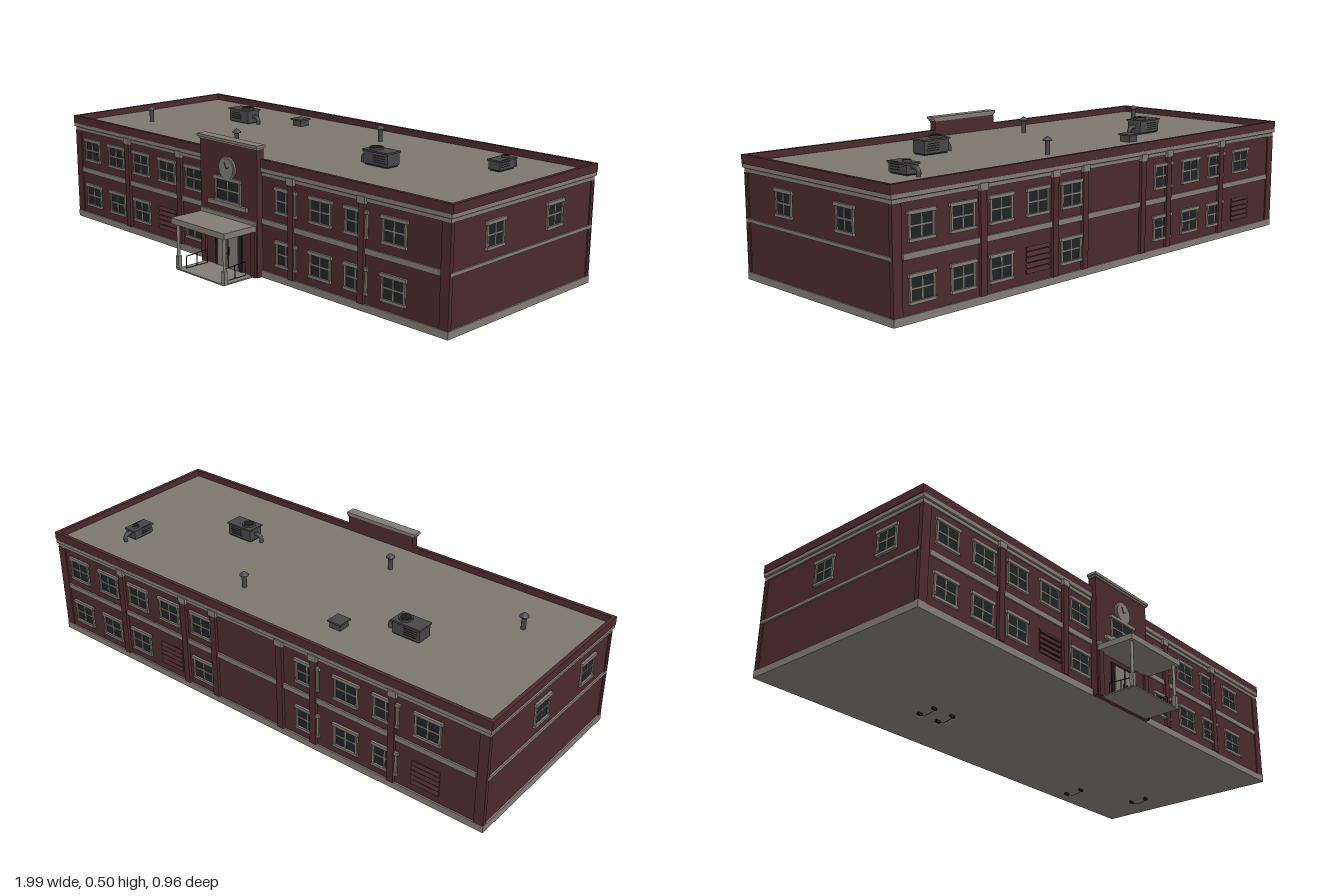
import * as THREE from 'three';

const mat = (name, color) => Object.assign(new THREE.MeshStandardMaterial({ color }), { name });

export function createModel() {
  const brick = mat('brick', 0x4c2a2d);
  const stone = mat('stone trim', 0x827d73);
  const roofing = mat('roofing', 0x7c786d);
  const glass = mat('dark glass', 0x1f2426);
  const metal = mat('roof metal', 0x484648);
  const black = mat('black iron', 0x1c1a1b);

  const model = new THREE.Group();
  model.name = 'schoolBuilding';

  function add(parent, name, geo, material, x = 0, y = 0, z = 0) {
    const m = new THREE.Mesh(geo, material);
    m.name = name;
    m.position.set(x, y, z);
    parent.add(m);
    return m;
  }
  // Box given by its lower and upper limits on each axis
  const box = (p, name, material, x0, x1, y0, y1, z0, z1) =>
    add(p, name, new THREE.BoxGeometry(x1 - x0, y1 - y0, z1 - z0), material,
      (x0 + x1) / 2, (y0 + y1) / 2, (z0 + z1) / 2);
  const group = (name, x = 0, y = 0, z = 0, parent = model) => {
    const g = new THREE.Group();
    g.name = name;
    g.position.set(x, y, z);
    parent.add(g);
    return g;
  };

  // Main body
  const X = 0.985, Z0 = -0.467, Z1 = 0.304;
  const slab = (name, m, out, y0, y1) =>
    box(model, name, m, -X - out, X + out, y0, y1, Z0 - out, Z1 + out);
  slab('foundation', stone, 0.006, 0.02, 0.046);
  slab('walls', brick, 0, 0.046, 0.39);
  slab('lowerCornice', stone, 0.004, 0.39, 0.402);
  slab('upperCornice', stone, 0.009, 0.405, 0.419);
  slab('corniceNeck', brick, 0.002, 0.402, 0.405);
  slab('roof', roofing, 0.0, 0.419, 0.425);
  const outer = new THREE.Shape([[-0.997, -0.312], [0.997, -0.312], [0.997, 0.475], [-0.997, 0.475]]
    .map(([x, y]) => new THREE.Vector2(x, y)));
  outer.holes.push(new THREE.Path([[-0.983, -0.298], [-0.983, 0.461], [0.983, 0.461], [0.983, -0.298]]
    .map(([x, y]) => new THREE.Vector2(x, y))));
  const parapet = new THREE.ExtrudeGeometry(outer, { depth: 0.031, bevelEnabled: false });
  add(model, 'parapet', parapet.rotateX(-Math.PI / 2), brick, 0, 0.419, 0);

  // Window with lintel, sill, frame and glazing bars; local z points out of the wall
  function windowUnit(parent, x, y, w = 0.092) {
    const g = group('window', x, y, 0, parent), h = w / 2;
    box(g, 'glass', glass, -h, h, -0.04, 0.04, 0, 0.002);
    box(g, 'lintel', stone, -h - 0.009, h + 0.009, 0.036, 0.048, 0, 0.009);
    box(g, 'sill', stone, -h - 0.006, h + 0.006, -0.047, -0.037, 0, 0.009);
    for (const s of [-1, 1]) box(g, 'jamb', stone, s * h - 0.004, s * h + 0.004, -0.038, 0.038, 0, 0.006);
    box(g, 'mullion', stone, -0.0025, 0.0025, -0.038, 0.038, 0, 0.004);
    box(g, 'transom', stone, -h, h, -0.002, 0.003, 0, 0.004);
  }
  function louver(parent, x, y) {
    const g = group('louver', x, y, 0, parent);
    box(g, 'louverBacking', black, -0.05, 0.05, -0.04, 0.04, 0, 0.002);
    for (let i = 0; i < 5; i++) {
      const s = box(g, 'louverSlat', brick, -0.055, 0.055, -0.007, 0.007, 0, 0.004);
      s.position.set(0, -0.038 + i * 0.019, 0.005);
      s.rotation.x = -0.4;
    }
  }
  function pilaster(parent, x, w = 0.026) {
    box(parent, 'pilaster', brick, x - w / 2, x + w / 2, 0.046, 0.39, 0, 0.011);
    box(parent, 'pilasterCapital', stone, x - w / 2 - 0.004, x + w / 2 + 0.004, 0.384, 0.408, 0, 0.014);
  }

  // Long facades
  const columns = [-0.877, -0.712, -0.548, -0.383, -0.22, 0.275, 0.44, 0.603, 0.766];
  function facade(name, z, turn, louvers) {
    const g = group(name, 0, 0, z);
    g.rotation.y = turn;
    columns.forEach((x, i) => {
      windowUnit(g, x, 0.315);
      louvers.includes(i) ? louver(g, x, 0.124) : windowUnit(g, x, 0.124);
    });
    [-0.63, -0.303, 0.303, 0.63].forEach(x => pilaster(g, x));
    for (const s of [-1, 1]) box(g, 'cornerPier', brick, s * 0.972 - 0.018, s * 0.972 + 0.018, 0.046, 0.39, 0, 0.005);
    box(g, 'beltCourse', stone, -0.95, 0.95, 0.217, 0.237, 0, 0.006);
    return g;
  }
  facade('frontFacade', Z1, 0, [3]);
  const back = facade('backFacade', Z0, Math.PI, [3, 8]);
  [-0.155, 0.155].forEach(x => pilaster(back, x));

  // End walls
  [[1, [0.084, -0.242]], [-1, [-0.15, 0.15]]].forEach(([s, zs]) => {
    const g = group('endWall', s * X, 0, 0);
    g.rotation.y = s * Math.PI / 2;
    zs.forEach(z => windowUnit(g, -s * z, 0.313, 0.082));
    const a = s > 0 ? -Z1 : Z0, b = s > 0 ? -Z0 : Z1;
    box(g, 'beltCourse', stone, a, b, 0.22, 0.232, 0, 0.006);
    box(g, 'cornerPier', brick, a, a + 0.012, 0.046, 0.39, 0, 0.004);
    box(g, 'cornerPier', brick, b - 0.012, b, 0.046, 0.39, 0, 0.004);
  });

  // Entrance tower
  const tower = group('entranceTower');
  box(tower, 'towerWall', brick, -0.153, 0.153, 0.02, 0.49, 0.298, 0.329);
  box(tower, 'towerCap', stone, -0.162, 0.162, 0.49, 0.5, 0.297, 0.337);
  box(tower, 'towerCapMoulding', stone, -0.157, 0.157, 0.483, 0.49, 0.298, 0.333);
  const front = group('towerFront', 0, 0, 0.329, tower);
  windowUnit(front, 0, 0.313, 0.128);
  box(front, 'windowLedge', stone, -0.105, 0.105, 0.252, 0.268, 0, 0.011);
  const disc = (name, m, r, d) => add(front, name,
    new THREE.CylinderGeometry(r, r, d, 32).rotateX(Math.PI / 2), m, 0, 0.394, d / 2);
  disc('clockRim', stone, 0.043, 0.007);
  disc('clockFace', stone, 0.036, 0.009);
  [[0.024, 0.4], [0.017, -1.1]].forEach(([len, a]) => {
    const hand = add(front, 'clockHand', new THREE.BoxGeometry(0.003, len, 0.002).translate(0, len / 2, 0),
      metal, 0, 0.394, 0.01);
    hand.rotation.z = a;
  });

  // Double door
  box(front, 'doorFrame', black, -0.073, 0.073, 0.02, 0.172, 0, 0.004);
  for (const s of [-1, 1]) {
    const c = s * 0.03;
    box(front, 'doorLeaf', stone, c - 0.026, c + 0.026, 0.025, 0.163, 0, 0.008);
    box(front, 'doorHandle', black, s * 0.009 - 0.002, s * 0.009 + 0.002, 0.075, 0.105, 0.008, 0.012);
    box(front, 'entrancePier', brick, s * 0.135 - 0.012, s * 0.135 + 0.012, 0.02, 0.19, 0, 0.008);
  }

  // Canopy on posts, landing and handrails
  const porch = group('porch');
  box(porch, 'canopy', stone, -0.146, 0.146, 0.19, 0.212, 0.329, 0.477);
  box(porch, 'canopyHead', stone, -0.15, 0.15, 0.212, 0.227, 0.329, 0.337);
  box(porch, 'landing', stone, -0.13, 0.13, 0.018, 0.023, 0.329, 0.468);
  for (const s of [-1, 1]) {
    add(porch, 'post', new THREE.CylinderGeometry(0.006, 0.006, 0.17, 12), stone, s * 0.127, 0.105, 0.46);
    box(porch, 'postBase', stone, s * 0.127 - 0.008, s * 0.127 + 0.008, 0.02, 0.07, 0.453, 0.468);
    const rail = [[0.345, 0.023], [0.345, 0.074], [0.443, 0.068], [0.443, 0.023], [0.345, 0.023]];
    for (let i = 0; i < 4; i++) {
      const [a, b] = [rail[i], rail[i + 1]].map(([z, y]) => new THREE.Vector3(s * 0.105, y, z));
      add(porch, 'handrail', new THREE.TubeGeometry(new THREE.LineCurve3(a, b), 1, 0.0017, 6), black);
    }
    box(porch, 'railPost', black, s * 0.105 - 0.001, s * 0.105 + 0.001, 0.023, 0.07, 0.393, 0.396);
  }

  // Rooftop air handlers: cabinet, lid, fan and duct elbow
  const R = 0.425;
  function airHandler(x, z, w, d, h, turn, fan) {
    const g = group('airHandler', x, R, z);
    g.rotation.y = turn;
    box(g, 'cabinet', metal, -w / 2, w / 2, 0.005, h - 0.012, -d / 2, d / 2);
    box(g, 'lid', metal, -w / 2 - 0.004, w / 2 + 0.004, h - 0.012, h - 0.006, -d / 2 - 0.004, d / 2 + 0.004);
    box(g, 'skid', black, -w / 2 + 0.004, w / 2 - 0.004, 0, 0.005, -d / 2 + 0.004, d / 2 - 0.004);
    add(g, 'fanRing', new THREE.CylinderGeometry(fan, fan, 0.009, 20), metal, w * 0.2, h - 0.003, 0);
    add(g, 'fanGrille', new THREE.CylinderGeometry(fan * 0.8, fan * 0.8, 0.002, 20), black, w * 0.2, h + 0.002, 0);
    for (const s of [-1, 1]) for (let i = 0; i < 4; i++)
      box(g, 'sideSlat', black, -w * 0.4, w * 0.1, 0.014 + i * 0.008, 0.017 + i * 0.008,
        s * d / 2 - 0.001, s * d / 2 + 0.001);
    const path = new THREE.CatmullRomCurve3([[w / 2 - 0.01, 0.027], [w / 2 + 0.018, 0.027], [w / 2 + 0.028, 0.018],
      [w / 2 + 0.028, 0]].map(([a, b]) => new THREE.Vector3(a, b, 0)));
    add(g, 'duct', new THREE.TubeGeometry(path, 12, 0.008, 10), metal);
  }
  airHandler(-0.498, -0.193, 0.112, 0.062, 0.061, 0, 0.025);
  airHandler(0.433, 0, 0.112, 0.062, 0.061, Math.PI, 0.025);
  airHandler(0.762, -0.25, 0.09, 0.048, 0.046, Math.PI / 2, 0.014);
  box(model, 'roofHatch', metal, -0.3, -0.255, R, 0.448, -0.325, -0.28);
  box(model, 'roofHatchLid', metal, -0.306, -0.249, 0.448, 0.454, -0.331, -0.274);

  // Vent pipes with conical hoods
  const hood = [[0.009, 0], [0.009, 0.046], [0.017, 0.048], [0.017, 0.051], [0.007, 0.06], [0, 0.063]]
    .map(([x, y]) => new THREE.Vector2(x, y));
  [[-0.77, 0.08], [-0.167, 0.14], [0.16, -0.3]].forEach(([x, z]) =>
    add(model, 'ventPipe', new THREE.LatheGeometry(hood, 16), metal, x, R, z));

  // Small hangers under the floor
  [[-0.43, -0.22], [-0.34, -0.22], [0.58, -0.365], [0.845, -0.22]].forEach(([x, z]) => {
    for (const s of [-1, 1])
      box(model, 'floorBracket', black, x - 0.01, x + 0.01, 0.01, 0.02, z + s * 0.037 - 0.004, z + s * 0.037 + 0.004);
    const sag = new THREE.QuadraticBezierCurve3(new THREE.Vector3(x, 0.01, z - 0.037),
      new THREE.Vector3(x, -0.005, z), new THREE.Vector3(x, 0.01, z + 0.037));
    add(model, 'hangingCable', new THREE.TubeGeometry(sag, 8, 0.001, 5), black);
  });
  return model;
}
